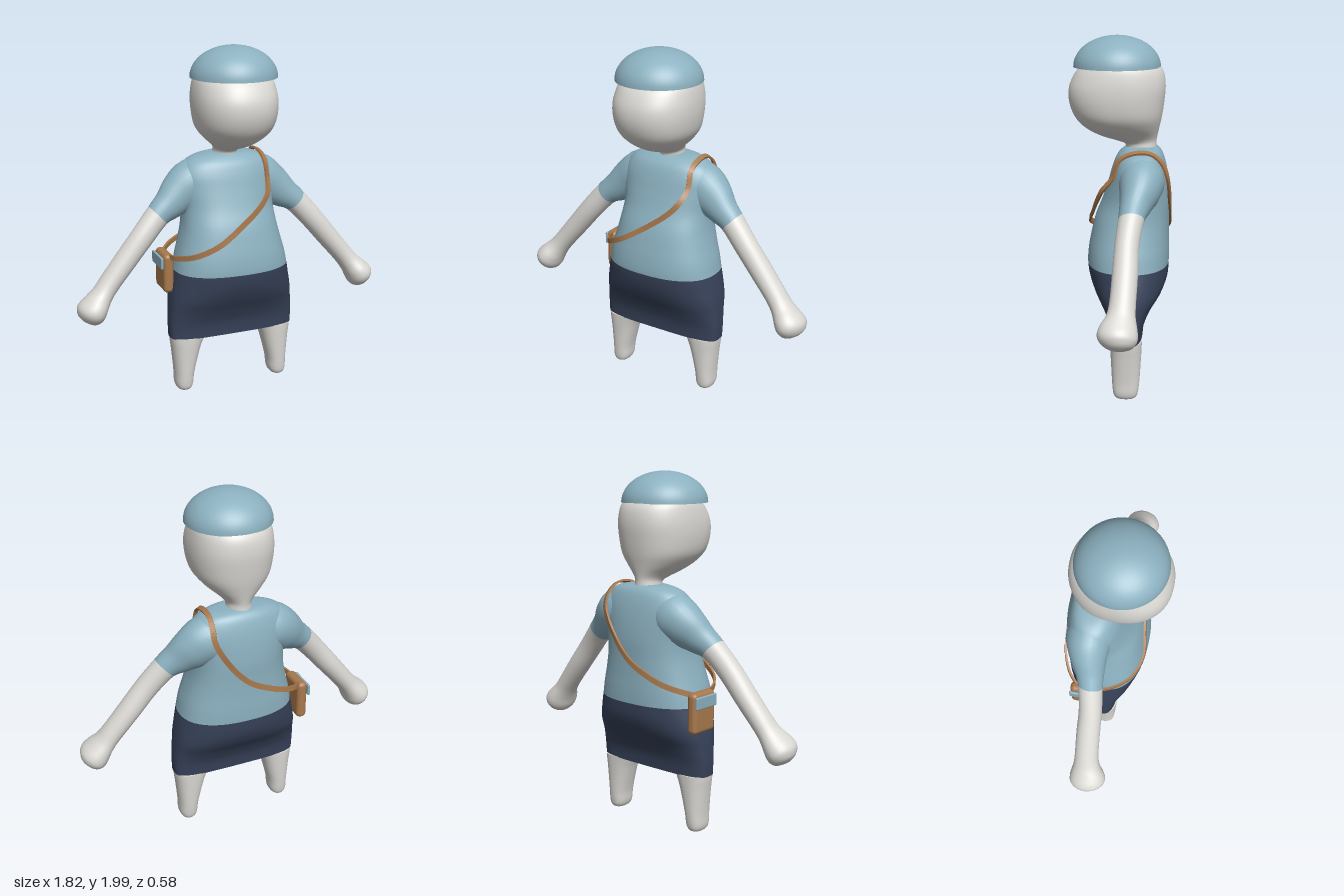
import * as THREE from 'three';
import { RoundedBoxGeometry } from 'three/addons/geometries/RoundedBoxGeometry.js';

const paint = (name, color) => {
  const m = new THREE.MeshStandardMaterial({ color });
  m.name = name;
  return m;
};

// Smoothly interpolates a table of cross-section rows (keeps the given rows)
function refine(rows, sub) {
  const out = [];
  for (let i = 0; i < rows.length - 1; i++) {
    const p0 = rows[Math.max(i - 1, 0)], p1 = rows[i], p2 = rows[i + 1];
    const p3 = rows[Math.min(i + 2, rows.length - 1)];
    for (let s = 0; s < sub; s++) {
      const t = s / sub;
      out.push(p1.map((b, k) => {
        const a = p0[k], c = p2[k], d = p3[k];
        return b + 0.5 * t * (c - a + t * (2 * a - 5 * b + 4 * c - d + t * (3 * (b - c) + d - a)));
      }));
    }
  }
  out.push(rows[rows.length - 1]);
  return out;
}

// Skins closed rings; the rings from index split on use the second material, the start cap the third
function loft(rings, split = rings.length) {
  const n = rings[0].length, pos = [], idx = [];
  rings.forEach(r => r.forEach(p => pos.push(p.x, p.y, p.z)));
  let splitAt = -1;
  for (let i = 0; i < rings.length - 1; i++) {
    if (i === split) splitAt = idx.length;
    for (let j = 0; j < n; j++) {
      const a = i * n + j, b = i * n + (j + 1) % n;
      idx.push(a, a + n, b, b, a + n, b + n);
    }
  }
  const cap = (ring, end) => {
    const base = pos.length / 3;
    const c = ring.reduce((s, p) => s.add(p), new THREE.Vector3()).divideScalar(n);
    [...ring, c].forEach(p => pos.push(p.x, p.y, p.z));
    for (let j = 0; j < n; j++) {
      const a = base + j, b = base + (j + 1) % n;
      idx.push(base + n, end ? b : a, end ? a : b);
    }
  };
  cap(rings[rings.length - 1], true);
  const startCap = idx.length;
  cap(rings[0], false);
  const g = new THREE.BufferGeometry();
  g.setAttribute('position', new THREE.Float32BufferAttribute(pos, 3));
  g.setIndex(idx);
  if (splitAt < 0) splitAt = startCap;
  g.addGroup(0, splitAt, 0);
  g.addGroup(splitAt, startCap - splitAt, 1);
  g.addGroup(startCap, idx.length - startCap, 2);
  g.computeVertexNormals();
  return g;
}

// Horizontal rounded section from [y, centreX, halfWidth, frontZ, backZ, squareness]
function section([y, cx, hw, zf, zb, e], n = 64) {
  const pts = [];
  for (let j = 0; j < n; j++) {
    const a = j / n * Math.PI * 2, c = Math.cos(a), s = Math.sin(a);
    const r = Math.pow(Math.abs(c) ** e + Math.abs(s) ** e, -1 / e);
    pts.push(new THREE.Vector3(cx + hw * c * r, y, (zf + zb) / 2 + (zf - zb) / 2 * s * r));
  }
  return pts;
}
const stack = (rows, split) => loft(refine(rows, 4).map(r => section(r)), split && split * 4);

// Arm sections: [x, y, z, radius in the front plane, radius in depth]
const ARM = [
  [0.08, 1.24, -0.11, 0.13, 0.11], [0.19, 1.225, -0.12, 0.138, 0.125],
  [0.28, 1.17, -0.11, 0.12, 0.107], [0.35, 1.12, -0.088, 0.092, 0.085],
  [0.42, 1.07, -0.068, 0.071, 0.07], [0.52, 0.96, -0.048, 0.066, 0.065],
  [0.62, 0.84, -0.042, 0.063, 0.067], [0.72, 0.72, -0.033, 0.059, 0.068],
  [0.765, 0.663, -0.024, 0.06, 0.076], [0.8, 0.62, -0.012, 0.07, 0.096],
  [0.828, 0.584, -0.01, 0.08, 0.103], [0.85, 0.556, -0.015, 0.076, 0.092],
  [0.868, 0.535, -0.02, 0.053, 0.06], [0.876, 0.525, -0.02, 0.013, 0.015],
];
function armGeometry(side) {
  const rows = refine(ARM, 4);
  const rings = rows.map((r, i) => {
    const a = rows[Math.max(i - 1, 0)], b = rows[Math.min(i + 1, rows.length - 1)];
    const d = new THREE.Vector2(side * (b[0] - a[0]), b[1] - a[1]).normalize();
    return Array.from({ length: 28 }, (_, j) => {
      const t = j / 28 * Math.PI * 2, c = Math.cos(t) * r[3];
      return new THREE.Vector3(side * r[0] + d.y * c, r[1] - d.x * c, r[2] + Math.sin(t) * r[4]);
    });
  });
  return loft(rings, 16);
}

// Flat band following the body from the bag over the shoulder and back
function strapGeometry() {
  const curve = new THREE.CatmullRomCurve3([
    [-0.37, 0.825, -0.05], [-0.345, 0.835, 0.03], [-0.27, 0.865, 0.13], [-0.15, 0.925, 0.18],
    [-0.02, 1.005, 0.16], [0.12, 1.11, 0.125], [0.175, 1.175, 0.095], [0.197, 1.245, 0.04],
    [0.195, 1.345, 0.002], [0.195, 1.384, -0.08], [0.195, 1.38, -0.17], [0.2, 1.33, -0.23],
    [0.195, 1.255, -0.259], [0.1, 1.09, -0.276], [0, 0.985, -0.281], [-0.12, 0.92, -0.277],
    [-0.22, 0.877, -0.258], [-0.31, 0.847, -0.215], [-0.365, 0.825, -0.16],
  ].map(p => new THREE.Vector3(...p)), false, 'centripetal');
  const rings = [];
  for (let i = 0; i <= 110; i++) {
    const p = curve.getPointAt(i / 110), t = curve.getTangentAt(i / 110);
    const out = p.clone().sub(new THREE.Vector3(p.x * 0.5, Math.min(p.y, 1.15), -0.1));
    out.addScaledVector(t, -out.dot(t)).normalize();
    const wide = new THREE.Vector3().crossVectors(t, out);
    rings.push([[-1, -1], [1, -1], [1, 1], [-1, 1]].map(([w, h]) =>
      p.clone().addScaledVector(wide, w * 0.0145).addScaledVector(out, h * 0.006)));
  }
  const g = loft(rings).toNonIndexed();
  g.clearGroups();
  g.computeVertexNormals();
  return g;
}

export function createModel() {
  const model = new THREE.Group();
  const skin = paint('pale skin', 0xdad8d3);
  const blue = paint('soft blue', 0x8cb1c0);
  const navy = paint('navy', 0x374259);
  const brown = paint('tan leather', 0xa8794d);
  const blueOpen = paint('cap blue', 0x8cb1c0);
  blueOpen.side = THREE.DoubleSide;
  const add = (name, geometry, material, x = 0, y = 0, z = 0) => {
    const m = new THREE.Mesh(geometry, material);
    m.name = name;
    m.position.set(x, y, z);
    model.add(m);
  };

  // Skirt and shirt in one smooth skin
  add('skirtAndShirt', stack([
    [0.34, 0, 0.375, 0.055, -0.13, 3.6], [0.42, 0, 0.377, 0.064, -0.142, 3.4],
    [0.5, 0, 0.372, 0.096, -0.18, 3], [0.58, 0, 0.365, 0.14, -0.235, 2.7],
    [0.66, 0, 0.353, 0.172, -0.268, 2.4], [0.74, 0, 0.336, 0.185, -0.275, 2.4],
    [0.82, 0, 0.32, 0.18, -0.276, 2.4], [0.9, 0, 0.298, 0.165, -0.274, 2.4],
    [1.0, 0, 0.275, 0.14, -0.274, 2.4], [1.1, 0, 0.268, 0.1, -0.277, 2.3],
    [1.2, 0, 0.285, 0.068, -0.27, 2.2], [1.28, 0, 0.285, 0.045, -0.257, 2.2],
    [1.34, 0, 0.25, 0.02, -0.24, 2.2], [1.372, 0, 0.2, -0.01, -0.222, 2.2],
    [1.388, 0, 0.13, -0.035, -0.2, 2.2], [1.393, 0, 0.06, -0.05, -0.18, 2],
  ], 5), [navy, blue, skin]);

  // Head with short neck
  add('head', stack([
    [1.36, 0, 0.075, -0.03, -0.2, 2], [1.405, 0, 0.068, -0.025, -0.198, 2],
    [1.428, 0, 0.08, 0.035, -0.2, 2], [1.455, 0, 0.11, 0.12, -0.205, 2.1],
    [1.5, 0, 0.162, 0.2, -0.215, 2.2], [1.56, 0, 0.206, 0.254, -0.228, 2.3],
    [1.64, 0, 0.225, 0.284, -0.24, 2.3], [1.72, 0, 0.228, 0.284, -0.247, 2.3],
    [1.79, 0, 0.22, 0.255, -0.24, 2.2], [1.835, 0, 0.207, 0.22, -0.218, 2.1],
    [1.88, 0, 0.18, 0.185, -0.17, 2], [1.94, 0, 0.1, 0.11, -0.08, 2], [1.96, 0, 0.02, 0.03, 0, 2],
  ]), skin);

  // Domed cap with an open rim
  const dome = [];
  for (let i = 0; i <= 16; i++) {
    const a = i / 16 * Math.PI / 2;
    dome.push(new THREE.Vector2(0.24 * Math.cos(a), 0.17 * Math.sin(a)));
  }
  add('cap', new THREE.LatheGeometry(dome, 48), blueOpen, 0, 1.83, 0.02);

  // Sleeved arms with mitten hands, and tapered legs
  for (const s of [1, -1]) {
    const side = s > 0 ? 'left' : 'right';
    add(side + 'Arm', armGeometry(s), [blue, skin, blue]);
    add(side + 'Leg', stack([
      [0.006, s * 0.297, 0.012, -0.02, -0.05, 2], [0.01, s * 0.297, 0.032, 0.012, -0.085, 2.2],
      [0.025, s * 0.296, 0.045, 0.028, -0.1, 2.4], [0.055, s * 0.295, 0.053, 0.035, -0.108, 2.4],
      [0.12, s * 0.292, 0.058, 0.04, -0.115, 2.3], [0.25, s * 0.281, 0.081, 0.047, -0.123, 2.3],
      [0.31, s * 0.274, 0.095, 0.05, -0.126, 2.4], [0.342, s * 0.268, 0.103, 0.051, -0.127, 2.5],
    ]), skin);
  }

  // Shoulder bag with strap and flap
  add('bagStrap', strapGeometry(), brown);
  add('bag', new RoundedBoxGeometry(0.06, 0.23, 0.18, 4, 0.025), brown, -0.373, 0.727, -0.11);
  add('bagFlap', new RoundedBoxGeometry(0.016, 0.068, 0.17, 2, 0.006), blue, -0.411, 0.79, -0.115);
  return model;
}
